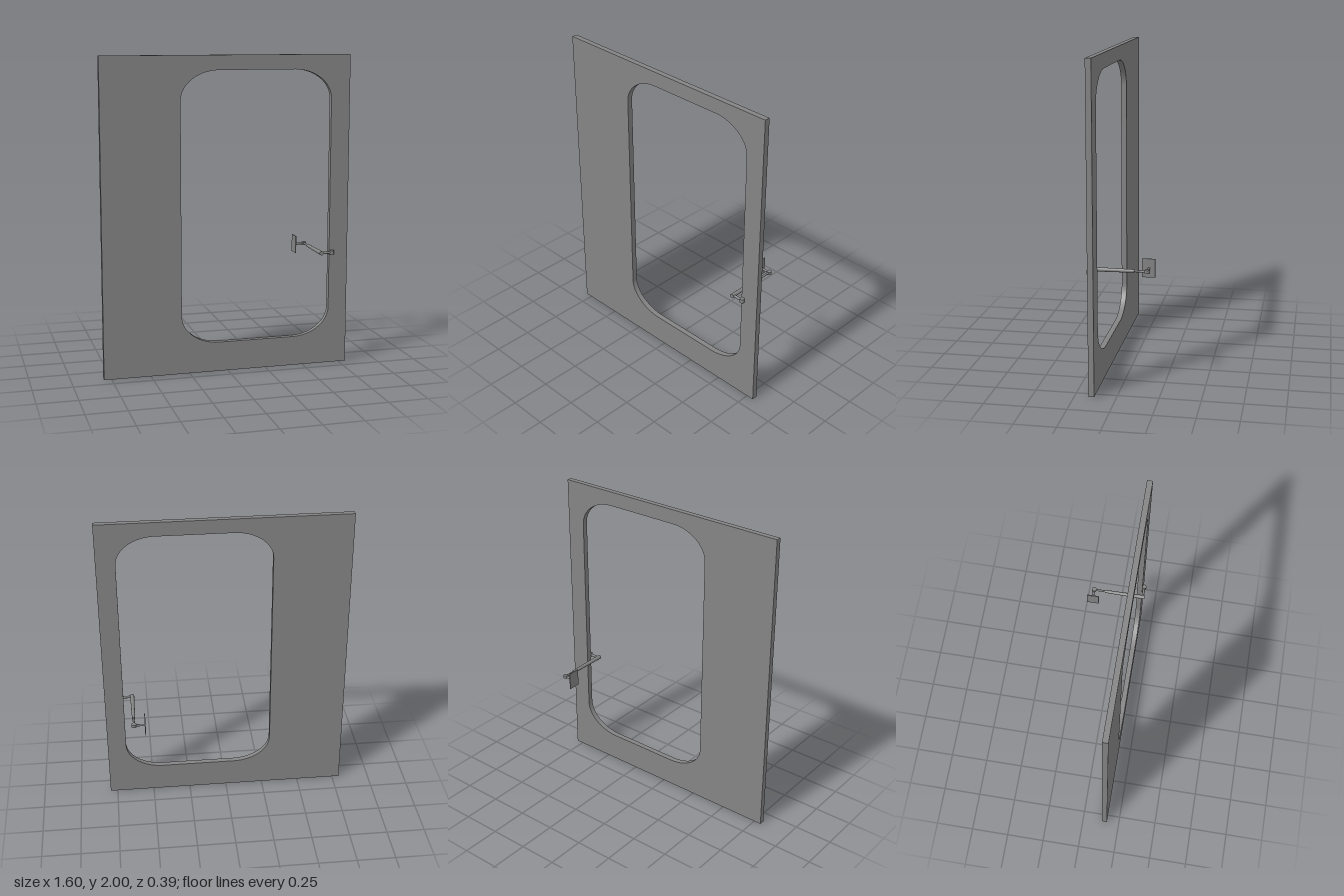
import * as THREE from 'three';

const material = new THREE.MeshStandardMaterial({ color: 0x848484 });

function add(parent, name, geometry, x = 0, y = 0, z = 0) {
  const mesh = new THREE.Mesh(geometry, material);
  mesh.name = name;
  mesh.position.set(x, y, z);
  parent.add(mesh);
  return mesh;
}

// Round bar between two points, with a radius at each end
function bar(parent, name, from, to, r0, r1 = r0) {
  const a = new THREE.Vector3(...from), b = new THREE.Vector3(...to);
  const dir = b.clone().sub(a);
  const mesh = add(parent, name, new THREE.CylinderGeometry(r1, r0, dir.length(), 20));
  mesh.position.copy(a).add(b).multiplyScalar(0.5);
  mesh.quaternion.setFromUnitVectors(new THREE.Vector3(0, 1, 0), dir.normalize());
}

// Flat slab with a window that has elliptical corners
function panelGeometry() {
  const shape = new THREE.Shape();
  shape.moveTo(-0.798, 0).lineTo(0.798, 0).lineTo(0.798, 2).lineTo(-0.798, 2).closePath();
  const x0 = -0.3, x1 = 0.675, y0 = 0.19, y1 = 1.908, rx = 0.245, ry = 0.185;
  const corners = [
    [x1 - rx, y0 + ry, -Math.PI / 2],
    [x1 - rx, y1 - ry, 0],
    [x0 + rx, y1 - ry, Math.PI / 2],
    [x0 + rx, y0 + ry, Math.PI],
  ];
  const hole = new THREE.Path();
  hole.moveTo(x1 - rx, y0);
  for (const [cx, cy, a] of corners) hole.absellipse(cx, cy, rx, ry, a, a + Math.PI / 2, false);
  hole.closePath();
  shape.holes.push(hole);
  return new THREE.ExtrudeGeometry(shape, { depth: 0.035, bevelEnabled: false, curveSegments: 20 });
}

export function createModel() {
  const model = new THREE.Group();
  model.name = 'windowPanel';
  add(model, 'panel', panelGeometry(), 0, 0, 0.132);

  // Jointed arm passing through the window
  const arm = new THREE.Group();
  arm.name = 'arm';
  model.add(arm);
  const x = 0.616, y = 0.735, back = -0.156, front = 0.178;
  bar(arm, 'armSleeve', [x, y, 0.191], [x, y, 0.02], 0.0135, 0.0115);
  bar(arm, 'armMiddle', [x, y, 0.02], [x, y, -0.08], 0.0115, 0.010);
  bar(arm, 'armRod', [x, y, -0.08], [x, y, back], 0.0065);

  // Front lever with an upright round knob
  bar(arm, 'leverRod', [x, y, front], [0.689, y, front], 0.008);
  bar(arm, 'leverKnob', [0.689, y - 0.013, front], [0.689, y + 0.013, front], 0.0145);

  // Rear upright pivot, stub and thin end plate
  bar(arm, 'pivot', [x, y - 0.01, back], [x, y + 0.01, back], 0.0155);
  bar(arm, 'plateStub', [x, y, back], [0.545, y, back], 0.007);
  add(arm, 'endPlate', new THREE.BoxGeometry(0.005, 0.115, 0.08), 0.545, y + 0.002, -0.153);
  return model;
}
